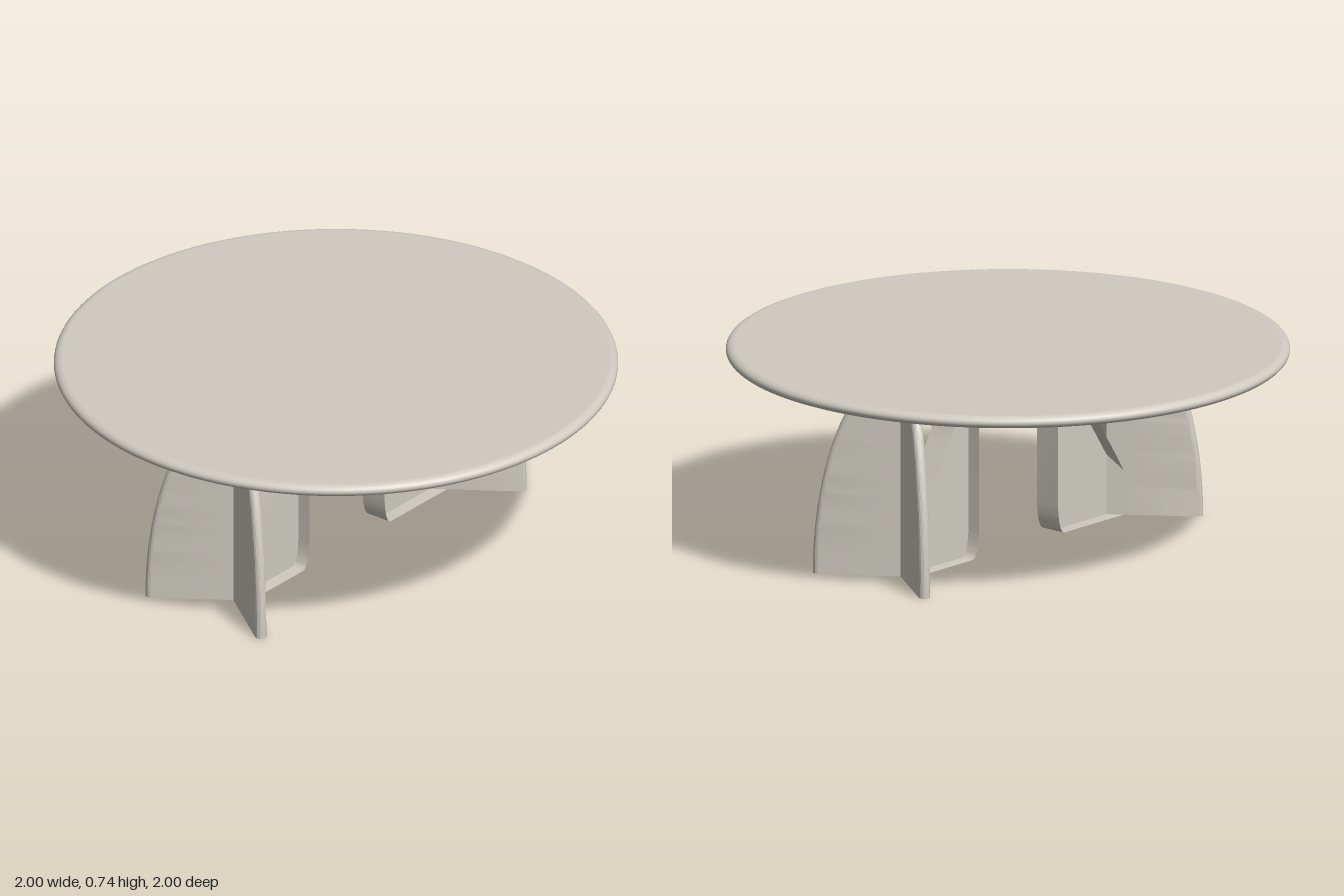
import * as THREE from 'three';
import { toCreasedNormals } from 'three/addons/utils/BufferGeometryUtils.js';

const stone = new THREE.MeshStandardMaterial({ color: 0xcfcbc1, side: THREE.DoubleSide });
stone.name = 'warm grey';

const TOP = 0.74, UNDERSIDE = 0.695;
const HUB_X = 0.55, FIN_ANGLE = THREE.MathUtils.degToRad(54.5);
const FIN_LENGTH = 0.328, FIN_HALF = 0.02;
const FLANGE_HALF = 0.05;

function part(name, geometry) {
  const mesh = new THREE.Mesh(geometry, stone);
  mesh.name = name;
  return mesh;
}

// Round top with a soft rim
function tableTop() {
  const half = (TOP - UNDERSIDE) / 2, mid = TOP - half, rim = 0.032;
  const profile = [new THREE.Vector2(0, UNDERSIDE)];
  for (let i = 0; i <= 14; i++) {
    const a = -Math.PI / 2 + (Math.PI * i) / 14;
    profile.push(new THREE.Vector2(1 - rim + rim * Math.cos(a), mid + half * Math.sin(a)));
  }
  profile.push(new THREE.Vector2(0, TOP));
  return part('tableTop', new THREE.LatheGeometry(profile, 128));
}

// Upright fin: mitred at the hub, round at the outer edge, narrowing upward along an ellipse
function finGeometry() {
  const mitre = FIN_HALF / Math.tan(FIN_ANGLE);
  const section = new THREE.Shape();
  section.moveTo(-mitre, -FIN_HALF);
  section.lineTo(FIN_LENGTH - FIN_HALF, -FIN_HALF);
  section.absarc(FIN_LENGTH - FIN_HALF, 0, FIN_HALF, -Math.PI / 2, Math.PI / 2, false);
  section.lineTo(mitre, FIN_HALF);
  section.closePath();
  const g = new THREE.ExtrudeGeometry(section, {
    depth: UNDERSIDE + 0.005, steps: 32, bevelEnabled: false, curveSegments: 10,
  });
  g.rotateX(-Math.PI / 2);
  const p = g.attributes.position;
  for (let i = 0; i < p.count; i++) {
    if (p.getX(i) < 0.1) continue;
    const reach = FIN_LENGTH * Math.sqrt(1 - (p.getY(i) / 0.774) ** 2);
    p.setX(i, p.getX(i) - FIN_LENGTH + reach);
  }
  g.rotateY(-FIN_ANGLE);
  g.translate(HUB_X, 0, 0);
  return toCreasedNormals(g, 0.6);
}

// Thin flange that follows a line in the xy plane
function flangeGeometry(points) {
  const n = points.length - 1;
  const g = new THREE.PlaneGeometry(1, 2 * FLANGE_HALF, n, 1);
  const p = g.attributes.position;
  for (let i = 0; i < p.count; i++) {
    const q = points[i % (n + 1)];
    p.setXYZ(i, q.x, q.y, p.getY(i));
  }
  return toCreasedNormals(g, 0.6);
}

// Outlines of the inner bracket
const v = (x, y) => new THREE.Vector2(x, y);
const sweep = [
  v(0.325, 0.70),
  ...new THREE.SplineCurve([
    v(0.323, 0.63), v(0.325, 0.58), v(0.347, 0.5), v(0.41, 0.395), v(0.525, 0.22), v(0.56, 0.165),
  ]).getPoints(32),
];
const innerEdge = [
  v(0.56, 0),
  ...new THREE.QuadraticBezierCurve(v(0.243, 0), v(0.215, 0.01), v(0.211, 0.1)).getPoints(10),
  v(0.21, 0.55), v(0.214, 0.70),
];

function leg(name) {
  const group = new THREE.Group();
  group.name = name;
  const fin = finGeometry();
  for (const side of [1, -1]) {
    const mesh = part(side > 0 ? 'frontFin' : 'backFin', fin);
    mesh.scale.z = side;
    group.add(mesh);
  }
  const web = new THREE.Shape([...innerEdge, ...sweep]);
  group.add(
    part('bracketWeb', new THREE.ShapeGeometry(web)),
    part('bracketInnerFlange', flangeGeometry(innerEdge)),
    part('bracketCurvedFlange', flangeGeometry(sweep)),
  );
  return group;
}

export function createModel() {
  const model = new THREE.Group();
  model.name = 'roundTable';
  const left = leg('leftLeg'), right = leg('rightLeg');
  right.rotation.y = Math.PI;
  model.add(tableTop(), left, right);
  return model;
}
